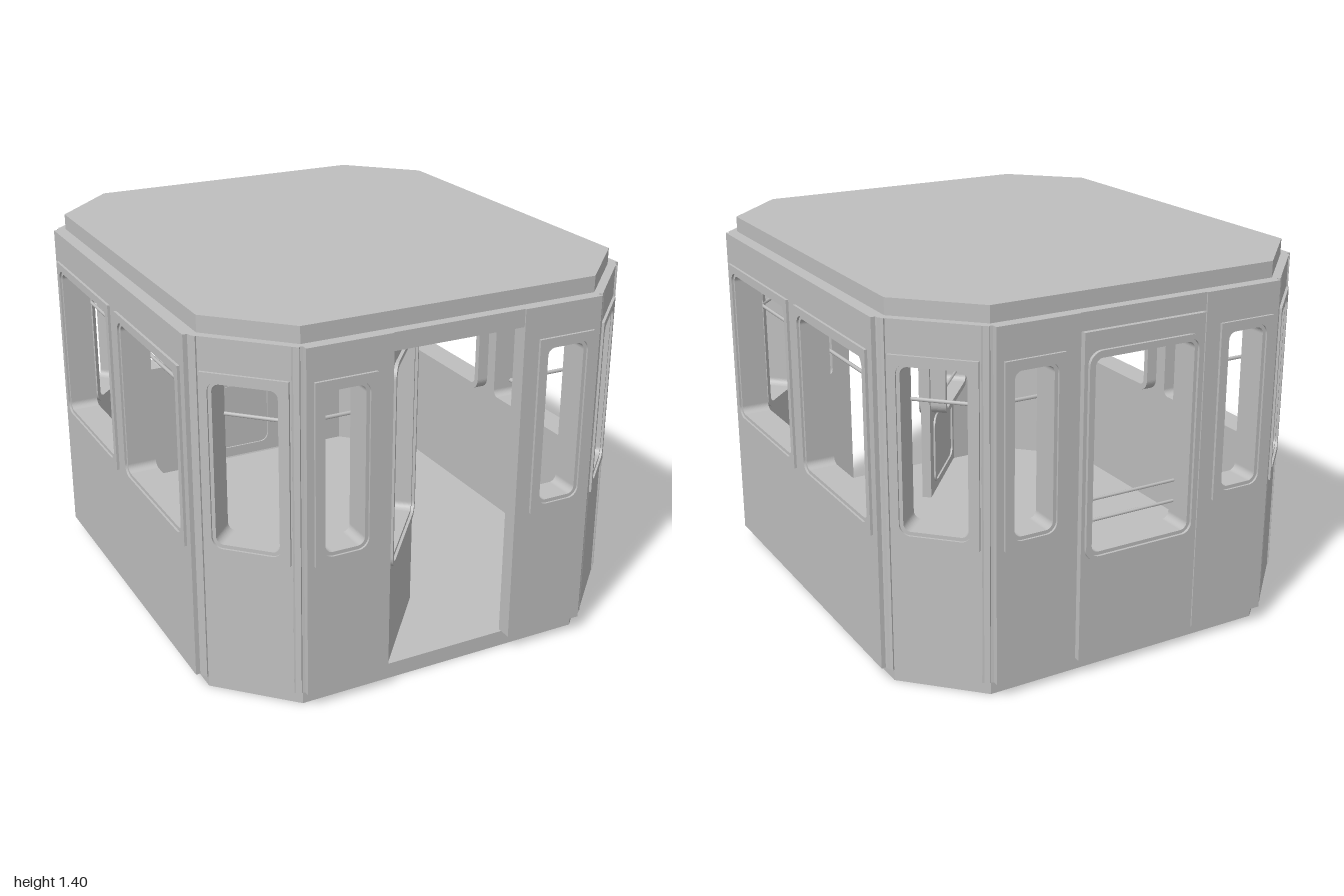
import * as THREE from 'three';

const paint = new THREE.MeshStandardMaterial({ color: 0xbebebe });
paint.name = 'cabin grey';

const Y0 = 0.06, Y1 = 1.34, WALL = 0.06;

function add(parent, name, geo, x = 0, y = 0, z = 0) {
  const m = new THREE.Mesh(geo, paint);
  m.name = name;
  m.position.set(x, y, z);
  parent.add(m);
  return m;
}

// rounded rectangle given by its edges
function roundRect(Type, l, r, b, t, rad) {
  const s = new Type();
  if (!rad) return s.moveTo(l, b).lineTo(r, b).lineTo(r, t).lineTo(l, t).closePath();
  s.moveTo(l + rad, b).lineTo(r - rad, b);
  s.absarc(r - rad, b + rad, rad, -Math.PI / 2, 0);
  s.absarc(r - rad, t - rad, rad, 0, Math.PI / 2);
  s.absarc(l + rad, t - rad, rad, Math.PI / 2, Math.PI);
  s.absarc(l + rad, b + rad, rad, Math.PI, Math.PI * 1.5);
  return s;
}

// plate with holes; edges and holes are [left, right, bottom, top, radius]
function plate(edges, holes, depth) {
  const s = roundRect(THREE.Shape, ...edges);
  for (const h of holes) s.holes.push(roundRect(THREE.Path, ...h));
  return new THREE.ExtrudeGeometry(s, { depth, bevelEnabled: false, curveSegments: 6 });
}

const grow = ([l, r, b, t, rad], d) => [l - d, r + d, b - d, t + d, Math.max(rad + d, 0)];

// outer trim plate and deep inner sleeve around an opening
function windowFrame(parent, hole, z, trim, proud = 0.01, depth = 0.11, rad = 0) {
  const outer = grow(hole, trim);
  outer[4] = rad;
  add(parent, 'windowTrim', plate(outer, [hole], proud), 0, 0, z);
  add(parent, 'windowSleeve', plate(grow(hole, 0.012), [grow(hole, -0.013)], depth), 0, 0, z + 0.002 - depth);
}

// wall panel whose outer face is at local z = dist
function panel(parent, name, edges, windows, dist) {
  add(parent, name, plate(edges, windows, WALL), 0, 0, dist - WALL);
  for (const w of windows) windowFrame(parent, w, dist, 0.027);
}

function facing(parent, name, angle) {
  const g = new THREE.Group();
  g.name = name;
  g.rotation.y = angle;
  parent.add(g);
  return g;
}

// octagonal slab
function slab(hx, hz, cx, cz, height) {
  const s = new THREE.Shape([
    [hx, -cz], [hx, cz], [cx, hz], [-cx, hz], [-hx, cz], [-hx, -cz], [-cx, -hz], [cx, -hz],
  ].map(p => new THREE.Vector2(...p)));
  return new THREE.ExtrudeGeometry(s, { depth: height, bevelEnabled: false }).rotateX(-Math.PI / 2);
}

function rod(parent, name, a, b, r) {
  const curve = new THREE.LineCurve3(new THREE.Vector3(...a), new THREE.Vector3(...b));
  return add(parent, name, new THREE.TubeGeometry(curve, 1, r, 8));
}

// door leaf with its hinge edge at the local origin and outer face at z = 0
function door(parent, name) {
  const g = new THREE.Group();
  g.name = name;
  const W = 0.49, hole = [0.03, 0.46, 0.46, 1.19, 0.04];
  add(g, 'doorLeaf', plate([0, W, Y0 + 0.002, 1.272, 0], [hole], 0.04), 0, 0, -0.04);
  windowFrame(g, hole, 0, 0.016, 0.012, 0.11, 0.05);
  // raised rim on the inside of the lower panel
  const rim = [0.06, 0.43, 0.1, 0.42, 0.05];
  add(g, 'doorPanelRim', plate(rim, [grow(rim, -0.012)], 0.008), 0, 0, -0.048);
  // guard rails across the window
  for (const y of [0.55, 0.63]) rod(g, 'doorRail', [0.03, y, -0.085], [0.46, y, -0.085], 0.006);
  parent.add(g);
  return g;
}

export function createModel() {
  const root = new THREE.Group();
  root.name = 'cableCabin';

  // floor, roof and ceiling lamp
  add(root, 'floor', slab(0.82, 0.935, 0.57, 0.685, Y0));
  add(root, 'roof', slab(0.82, 0.935, 0.57, 0.685, 0.06), 0, Y1, 0);
  add(root, 'ceilingLamp', new THREE.CylinderGeometry(0.055, 0.055, 0.03, 24), 0, Y1 - 0.015, 0);

  // long side walls with two windows each
  for (const s of [1, -1]) {
    const g = facing(root, 'sideWall', s * Math.PI / 2);
    panel(g, 'sidePanel', [-0.685, 0.685, Y0, Y1, 0],
      [[-0.623, -0.062, 0.587, 1.195, 0.04], [0.062, 0.623, 0.587, 1.195, 0.04]], 0.868);
  }

  // end walls: window panels beside the doorway and a header above it
  for (const a of [0, Math.PI]) {
    const g = facing(root, a ? 'backWall' : 'frontWall', a);
    panel(g, 'endPanelLeft', [0.255, 0.572, Y0, Y1, 0], [[0.343, 0.518, 0.587, 1.195, 0.04]], 0.98);
    panel(g, 'endPanelRight', [-0.572, -0.255, Y0, Y1, 0], [[-0.518, -0.343, 0.587, 1.195, 0.04]], 0.98);
    add(g, 'doorHeader', new THREE.BoxGeometry(0.51, 0.065, 0.05), 0, 1.3075, 0.95);
    add(g, 'hingeStrip', new THREE.BoxGeometry(0.012, 1.21, 0.04), -0.251, 0.668, 0.945);
    const d = door(g, a ? 'backDoor' : 'frontDoor');
    d.position.set(-0.243, 0, a ? 0.985 : 0.95);
    if (!a) d.rotation.y = THREE.MathUtils.degToRad(50); // swung inwards
  }

  // corner walls
  for (let i = 0; i < 4; i++) {
    const g = facing(root, 'cornerWall', Math.PI / 4 + i * Math.PI / 2);
    const c = i % 2 ? 0.078 : -0.078;
    panel(g, 'cornerPanel', [c - 0.187, c + 0.187, Y0, Y1, 0],
      [[c - 0.127, c + 0.127, 0.587, 1.195, 0.04]], 1.095);
  }

  // recessed posts in the grooves between walls
  for (const sx of [1, -1]) for (const sz of [1, -1]) {
    for (const [x, z, a] of [[0.564, 0.938, Math.PI / 8], [0.832, 0.674, Math.PI * 3 / 8]]) {
      const p = add(root, 'cornerPost', new THREE.BoxGeometry(0.075, Y1 - Y0, 0.045), sx * x, (Y0 + Y1) / 2, sz * z);
      p.rotation.y = sx * sz * a;
    }
  }

  // handrails following each half of the cabin, with brackets on the side walls
  for (const s of [1, -1]) {
    const pts = [[0.29, 0.86], [0.54, 0.86], [0.75, 0.65], [0.75, -0.65], [0.54, -0.86], [0.29, -0.86]]
      .map(([x, z]) => [s * x, 1.035, z]);
    for (let i = 0; i < pts.length - 1; i++) {
      rod(root, 'handrail', pts[i], pts[i + 1], 0.007);
      if (i) add(root, 'handrailBend', new THREE.SphereGeometry(0.007, 8, 6), ...pts[i]);
    }
    rod(root, 'handrailBracket', [s * 0.75, 1.035, 0], [s * 0.82, 1.035, 0], 0.01);
    add(root, 'handrailClamp', new THREE.BoxGeometry(0.025, 0.04, 0.03), s * 0.75, 1.035, 0);
    for (const z of [0.86, -0.86]) {
      rod(root, 'handrailEnd', [s * 0.29, 1.035, z], [s * 0.29, 1.035, z * 1.08], 0.007);
    }
  }
  return root;
}
